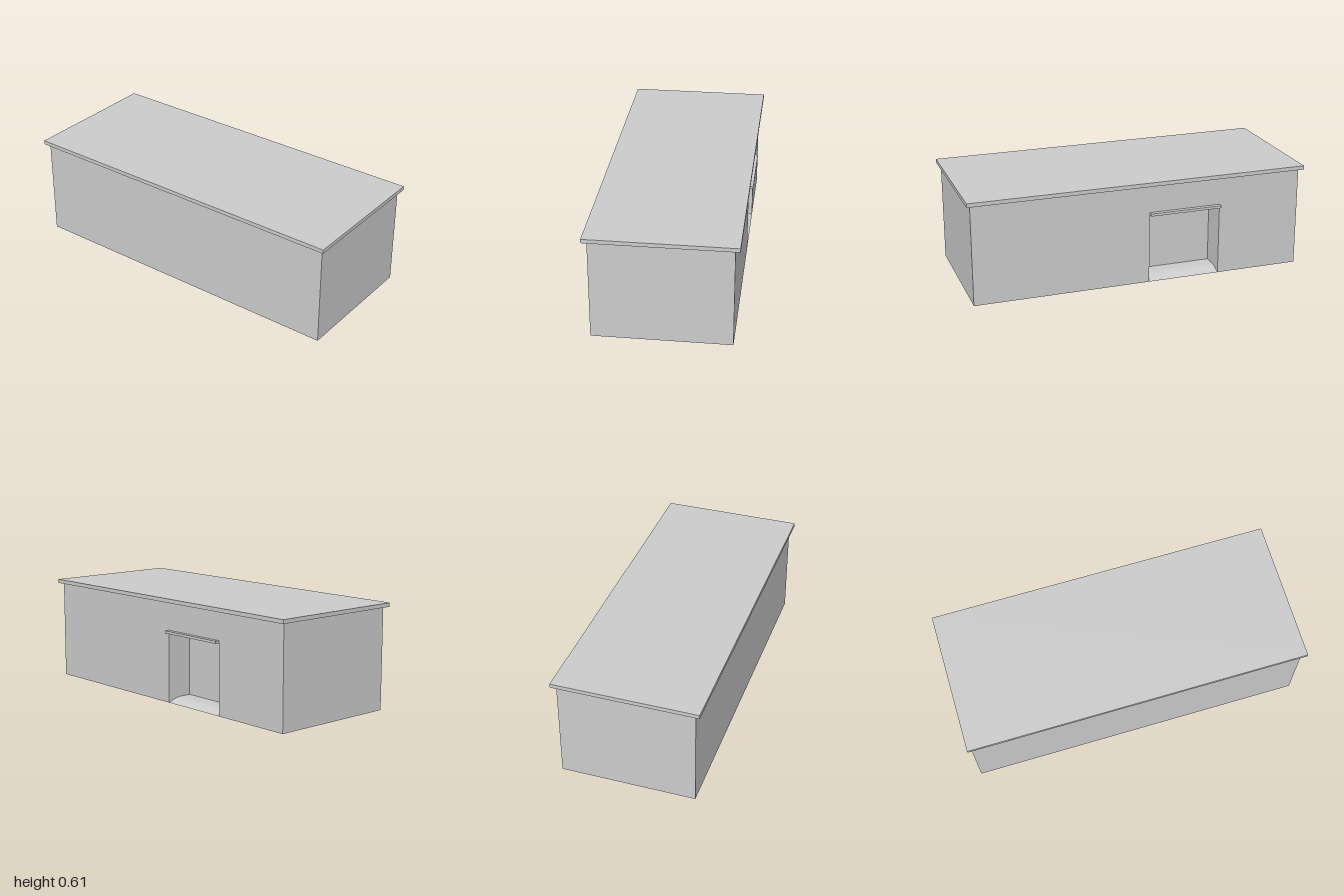
import * as THREE from 'three';

export function createModel() {
  const group = new THREE.Group();
  const material = new THREE.MeshStandardMaterial({ color: 0xcccccc });

  const add = (name, geometry, x = 0, y = 0, z = 0) => {
    const mesh = new THREE.Mesh(geometry, material);
    mesh.name = name;
    mesh.position.set(x, y, z);
    group.add(mesh);
  };
  const polygon = (points) => new THREE.Shape(points.map(([a, b]) => new THREE.Vector2(a, b)));
  // Upright single-sided wall, turned about y from facing +z
  const wallPanel = (name, width, height, turn, x, z) =>
    add(name, new THREE.PlaneGeometry(width, height).rotateY(turn), x, height / 2, z);

  // Main dimensions
  const halfW = 0.388, halfL = 0.978, wallH = 0.59;
  const recessX = 0.234;                 // back wall of the entrance recess
  const doorA = 0.053, doorB = 0.482;    // doorway extent along -z
  const doorH = 0.41, doorW = doorB - doorA, doorZ = -(doorA + doorB) / 2;

  // Outer walls
  wallPanel('frontWall', halfW * 2, wallH, 0, 0, halfL);
  wallPanel('backWall', halfW * 2, wallH, Math.PI, 0, -halfL);
  wallPanel('rightWall', halfL * 2, wallH, -Math.PI / 2, -halfW, 0);

  // Entrance wall with the doorway notch, drawn in (-z, y)
  const wall = polygon([
    [-halfL, 0], [doorA, 0], [doorA, doorH], [doorB, doorH],
    [doorB, 0], [halfL, 0], [halfL, wallH], [-halfL, wallH],
  ]);
  add('entranceWall', new THREE.ShapeGeometry(wall).rotateY(Math.PI / 2), halfW);

  // Entrance recess
  const depth = halfW - recessX, midX = (halfW + recessX) / 2;
  wallPanel('recessBack', doorW, doorH, Math.PI / 2, recessX, doorZ);
  wallPanel('recessSide', depth, doorH, Math.PI, midX, -doorA);
  wallPanel('recessSide', depth, doorH, 0, midX, -doorB);
  add('recessCeiling', new THREE.PlaneGeometry(depth, doorW).rotateX(Math.PI / 2), midX, doorH, doorZ);

  // Recess floor: flat landing that curves down to the ground at the opening
  const floor = new THREE.Shape();
  floor.moveTo(recessX, 0);
  floor.lineTo(halfW, 0);
  floor.quadraticCurveTo(0.335, 0.025, 0.3, 0.025);
  floor.lineTo(recessX, 0.025);
  floor.closePath();
  add('entranceRamp', new THREE.ExtrudeGeometry(floor,
    { depth: doorW, bevelEnabled: false, curveSegments: 8 }), 0, 0, -doorB);

  // Slightly hollowed underside: sloping borders around a raised flat centre, drawn in (x, z)
  const inX = 0.215, inZ = 0.58, rise = 0.03;
  const underside = (points) => {
    const geometry = new THREE.ShapeGeometry(polygon(points)).rotateX(Math.PI / 2);
    const p = geometry.attributes.position;
    for (let i = 0; i < p.count; i++) {
      const slopeX = (halfW - Math.abs(p.getX(i))) / (halfW - inX);
      const slopeZ = (halfL - Math.abs(p.getZ(i))) / (halfL - inZ);
      p.setY(i, rise * Math.min(1, slopeX, slopeZ));
    }
    geometry.computeVertexNormals();
    add('underside', geometry);
  };
  underside([[-inX, -inZ], [inX, -inZ], [inX, inZ], [-inX, inZ]]);
  for (const s of [-1, 1]) {
    underside([[-halfW, s * halfL], [halfW, s * halfL], [inX, s * inZ], [-inX, s * inZ]]);
  }
  underside([[-halfW, -halfL], [-inX, -inZ], [-inX, inZ], [-halfW, halfL]]);
  underside([
    [halfW, -halfL], [halfW, -doorB], [recessX, -doorB], [recessX, -doorA],
    [halfW, -doorA], [halfW, halfL], [inX, inZ], [inX, -inZ],
  ]);

  // Canopy slab over the doorway
  add('canopy', new THREE.BoxGeometry(0.026, 0.015, doorW), 0.401, 0.4175, doorZ);

  // Overhanging flat roof
  add('roof', new THREE.BoxGeometry(0.83, 0.023, 2), 0, 0.5995, 0);

  return group;
}
